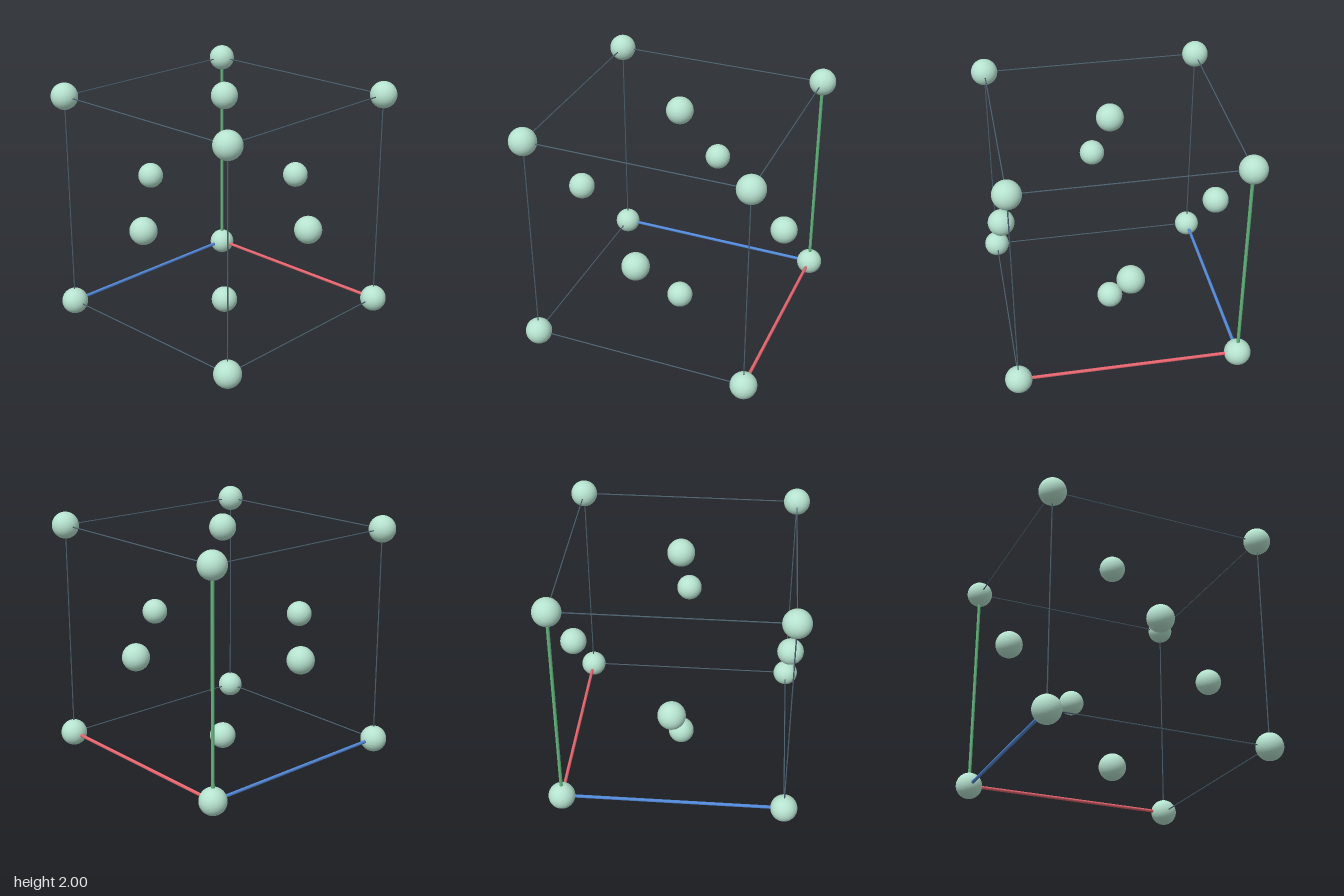
import * as THREE from 'three';

const H = 0.892;        // half the cell edge
const ATOM_R = 0.108;
const EDGE_R = 0.005;
const AXIS_R = 0.0135;

function material(name, color) {
  const m = new THREE.MeshStandardMaterial({ color });
  m.name = name;
  return m;
}

export function createModel() {
  const model = new THREE.Group();
  model.name = 'faceCentredCubicCell';

  const atomMat = material('paleGreen', 0xb6e2cf);
  const edgeMat = material('slate', 0x4c606e);
  const axisMats = [
    material('red', 0xe5646e),
    material('green', 0x62b57c),
    material('blue', 0x5288d8),
  ];
  const axisNames = ['xAxisRod', 'yAxisRod', 'zAxisRod'];

  const atomGeo = new THREE.SphereGeometry(ATOM_R, 40, 28);
  const edgeGeo = new THREE.CylinderGeometry(EDGE_R, EDGE_R, 2 * H, 10);
  const axisGeo = new THREE.CylinderGeometry(AXIS_R, AXIS_R, 2 * H, 16);

  const add = (name, geo, mat, pos) => {
    const mesh = new THREE.Mesh(geo, mat);
    mesh.name = name;
    mesh.position.set(...pos);
    model.add(mesh);
    return mesh;
  };

  // Corner atoms
  for (const x of [-H, H])
    for (const y of [-H, H])
      for (const z of [-H, H]) add('cornerAtom', atomGeo, atomMat, [x, y + 1, z]);

  for (let axis = 0; axis < 3; axis++) {
    // Face-centre atoms on both faces across this axis
    for (const s of [-H, H]) {
      const p = [0, 0, 0];
      p[axis] = s;
      p[1] += 1;
      add('faceAtom', atomGeo, atomMat, p);
    }
    // Four parallel edges; the one from the origin corner is a coloured rod
    for (const a of [-H, H])
      for (const b of [-H, H]) {
        const p = [0, 0, 0];
        p[(axis + 1) % 3] = a;
        p[(axis + 2) % 3] = b;
        p[1] += 1;
        const origin = a < 0 && b < 0;
        const rod = origin
          ? add(axisNames[axis], axisGeo, axisMats[axis], p)
          : add('cellEdge', edgeGeo, edgeMat, p);
        if (axis === 0) rod.rotation.z = -Math.PI / 2;
        if (axis === 2) rod.rotation.x = Math.PI / 2;
      }
  }
  return model;
}
